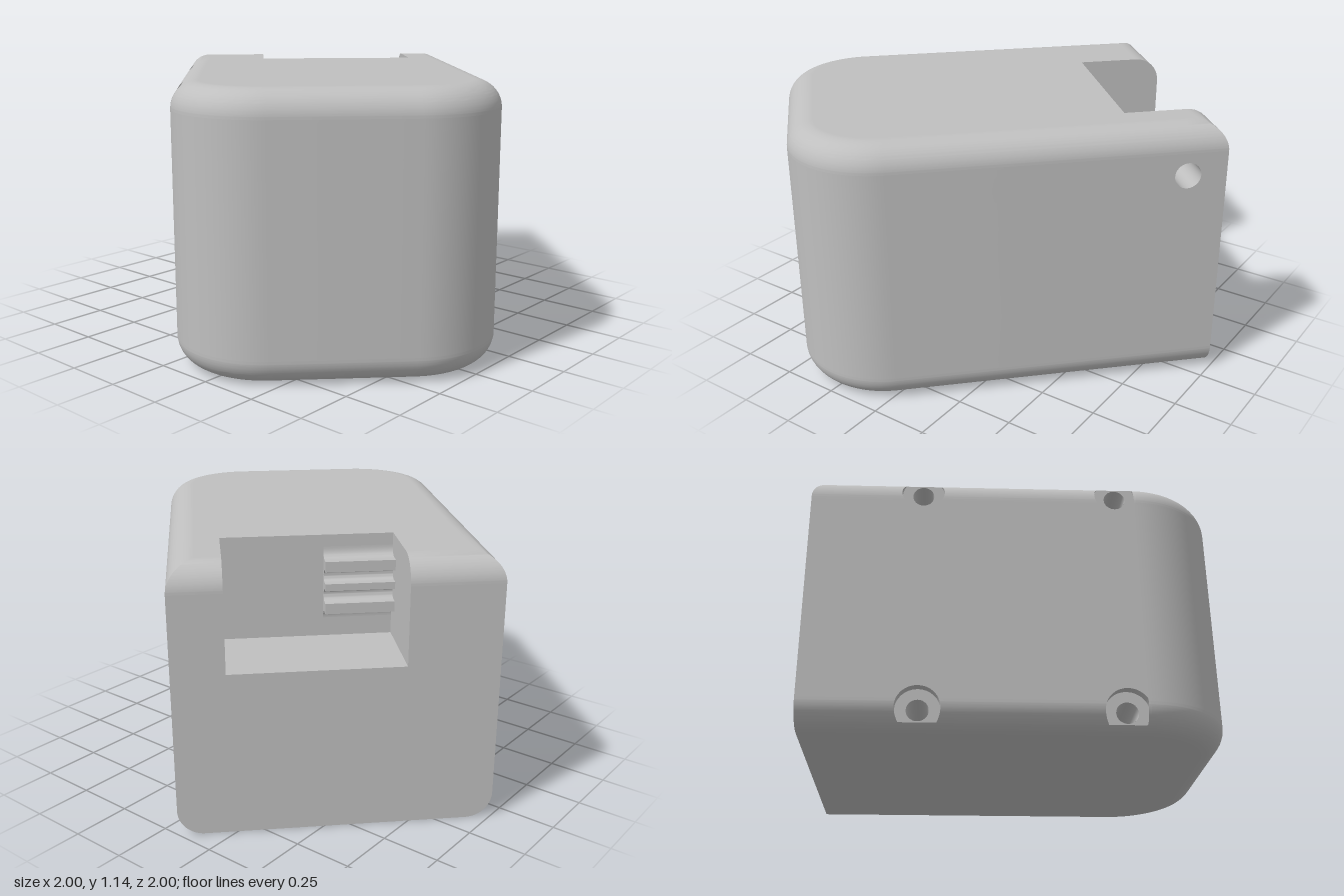
import * as THREE from 'three';
import { toCreasedNormals } from 'three/addons/utils/BufferGeometryUtils.js';

// Local frame: x across the width, z along the length (rounded end at +z), turned 45 degrees at the end
const W = 0.653, H = 1.14, V0 = -0.762, V1 = 0.978, R = 0.37, F = 0.11;
const NOTCH = { a: -0.276, b: 0.438, back: -0.385, floor: 0.7 };
const BORE = { z: -0.598, y: 0.935, r: 0.055 };
const POCKET = { zs: [-0.29, 0.53], ys: [0.075, H - 0.075], r: 0.09, hole: 0.045, x: -0.613, clip: 0.025 };

const grey = new THREE.MeshStandardMaterial({ color: 0xbfbfbf, side: THREE.DoubleSide });
grey.name = 'grey plastic';

const chord = (r, dy) => Math.sqrt(Math.max(0, r * r - dy * dy));
// How far the edge rounding pulls the wall inwards at height y
const inset = (y) => F - chord(F, Math.max(0, F - y, y - (H - F)));
const pocketHalf = (y, r) => Math.max(...POCKET.ys.map((c) => chord(r, y - c)));

// Collects quads into one geometry with smooth curves and sharp edges
function quadSheet() {
  const pos = [];
  return {
    quad(a, b, c, d) { pos.push(...a, ...b, ...c, ...a, ...c, ...d); },
    build() {
      const g = new THREE.BufferGeometry();
      g.setAttribute('position', new THREE.Float32BufferAttribute(pos, 3));
      return toCreasedNormals(g, 0.6);
    },
  };
}

// Outline at height y: left wall, rounded end, right wall, flat end. "open" columns are cut out.
function ring(y, pocketOpen) {
  const d = inset(y), x = W - d, r = R - d, zc = V1 - R;
  const zEnd = V0 + (y > H / 2 ? d : 0);
  const w = pocketOpen ? pocketHalf(y, POCKET.r) : 0;
  const h = chord(BORE.r, y - BORE.y);
  const pts = [[-x, zEnd]];
  POCKET.zs.forEach((z) => pts.push([-x, z - w], [-x, z + w]));
  for (const [side, from] of [[-1, Math.PI], [1, Math.PI / 2]]) {
    for (let i = 0; i <= 16; i++) {
      const t = from - (i / 16) * (Math.PI / 2);
      pts.push([side * (W - R) + r * Math.cos(t), zc + r * Math.sin(t)]);
    }
  }
  pts.push([x, BORE.z + h], [x, BORE.z - h], [x, zEnd], [NOTCH.b, zEnd], [NOTCH.a, zEnd], [-x, zEnd]);
  return pts;
}

// Heights at which the skin is sliced
function sliceHeights() {
  const ys = [NOTCH.floor, POCKET.clip, H - POCKET.clip];
  for (let i = 0; i <= 12; i++) {
    const y = F * (1 - Math.cos((i / 12) * Math.PI / 2));
    ys.push(y, H - y);
  }
  for (let i = 0; i <= 16; i++) {
    const c = Math.cos((i / 16) * Math.PI);
    ys.push(BORE.y + BORE.r * c);
    POCKET.ys.forEach((y) => ys.push(y + POCKET.r * c, y + POCKET.hole * c));
  }
  return ys.filter((y) => y >= 0 && y <= H).sort((a, b) => a - b)
    .filter((y, i, all) => i === 0 || y - all[i - 1] > 1e-4);
}

function createModel() {
  const model = new THREE.Group();
  const block = new THREE.Group();
  block.name = 'block';
  block.rotation.y = -Math.PI / 4;
  model.add(block);
  const add = (name, geometry) => {
    const mesh = new THREE.Mesh(geometry, grey);
    mesh.name = name;
    block.add(mesh);
    return mesh;
  };

  // Outer skin and screw pockets, slice by slice
  const skin = quadSheet(), pockets = quadSheet();
  const ys = sliceHeights();
  for (let k = 0; k < ys.length - 1; k++) {
    const y0 = ys[k], y1 = ys[k + 1], mid = (y0 + y1) / 2;
    const pocketOpen = mid > POCKET.clip && mid < H - POCKET.clip;
    const lo = ring(y0, pocketOpen), hi = ring(y1, pocketOpen), n = lo.length;
    const boreOpen = Math.abs(mid - BORE.y) < BORE.r;
    const inPocket = pocketOpen && pocketHalf(mid, POCKET.r) > 0;
    for (let i = 0; i < n - 1; i++) {
      if ((i === 1 || i === 3) && (inPocket || !pocketOpen)) continue;
      if (i === n - 6 && boreOpen) continue;
      if (i === n - 3 && mid > NOTCH.floor) continue;
      const [a, b, c, d] = [lo[i], lo[i + 1], hi[i + 1], hi[i]];
      skin.quad([a[0], y0, a[1]], [b[0], y0, b[1]], [c[0], y1, c[1]], [d[0], y1, d[1]]);
    }
    if (!inPocket) continue;
    const px = POCKET.x;
    for (const z of POCKET.zs) {
      const [w0, w1] = [y0, y1].map((y) => pocketHalf(y, POCKET.r));
      const [h0, h1] = [y0, y1].map((y) => pocketHalf(y, POCKET.hole));
      const x0 = lo[0][0], x1 = hi[0][0];
      pockets.quad([x0, y0, z - w0], [px, y0, z - w0], [px, y1, z - w1], [x1, y1, z - w1]);
      pockets.quad([px, y0, z - w0], [px, y0, z - h0], [px, y1, z - h1], [px, y1, z - w1]);
      pockets.quad([px, y0, z + h0], [px, y0, z + w0], [px, y1, z + w1], [px, y1, z + h1]);
      pockets.quad([px, y0, z + w0], [x0, y0, z + w0], [x1, y1, z + w1], [px, y1, z + w1]);
    }
  }
  add('outerSkin', skin.build());
  add('screwPockets', pockets.build());

  // Top with the notch cut out, and bottom
  const cap = (name, pts, flip, y) => {
    const shape = new THREE.Shape(pts.map(([x, z]) => new THREE.Vector2(x, flip * z)));
    add(name, new THREE.ShapeGeometry(shape).rotateX(flip * Math.PI / 2).translate(0, y, 0));
  };
  const distinct = (pts) => pts.filter((p, i) => i === 0
    || Math.hypot(p[0] - pts[i - 1][0], p[1] - pts[i - 1][1]) > 1e-5);
  const topPts = ring(H, false).slice(0, -1);
  topPts.splice(-1, 0, [NOTCH.b, NOTCH.back], [NOTCH.a, NOTCH.back]);
  cap('top', distinct(topPts), -1, H);
  cap('bottom', distinct(ring(0, false).slice(0, -1)), 1, 0);

  // Notch: two side walls, floor and back
  const notchWall = (name, x, bored) => {
    const s = new THREE.Shape();
    s.moveTo(V0, NOTCH.floor).lineTo(NOTCH.back, NOTCH.floor).lineTo(NOTCH.back, H).lineTo(V0 + F, H);
    s.absarc(V0 + F, H - F, F, Math.PI / 2, Math.PI, false);
    if (bored) s.holes.push(new THREE.Path().absarc(BORE.z, BORE.y, BORE.r, 0, Math.PI * 2, true));
    add(name, new THREE.ShapeGeometry(s, 16).rotateY(-Math.PI / 2).translate(x, 0, 0));
  };
  notchWall('notchWideSide', NOTCH.a, false);
  notchWall('notchNarrowSide', NOTCH.b, true);
  const nw = NOTCH.b - NOTCH.a, nx = (NOTCH.a + NOTCH.b) / 2, nd = NOTCH.back - V0;
  add('notchFloor', new THREE.PlaneGeometry(nw, nd).rotateX(-Math.PI / 2))
    .position.set(nx, NOTCH.floor, V0 + nd / 2);
  add('notchBack', new THREE.PlaneGeometry(nw, H - NOTCH.floor).rotateY(Math.PI))
    .position.set(nx, (H + NOTCH.floor) / 2, NOTCH.back);

  // Toothed rack in the corner of the notch
  const zb = NOTCH.back, zt = zb - 0.073;
  const rack = new THREE.Shape();
  rack.moveTo(zb, 0.78).quadraticCurveTo(zb, 0.82, zb - 0.04, 0.82).lineTo(zt, 0.82);
  for (const [y0, y1] of [[0.865, 0.92], [0.95, 1.0]]) {
    const r = (y1 - y0) / 2;
    rack.lineTo(zt, y0);
    rack.absarc(zb - 0.017 - r, (y0 + y1) / 2, r, -Math.PI / 2, Math.PI / 2, false);
    rack.lineTo(zt, y1);
  }
  rack.lineTo(zt, 1.045).lineTo(zb - 0.04, 1.045).quadraticCurveTo(zb, 1.045, zb, 1.09);
  const rackGeo = new THREE.ExtrudeGeometry(rack, { depth: 0.29, bevelEnabled: false, curveSegments: 10 });
  add('toothedRack', toCreasedNormals(rackGeo.rotateY(-Math.PI / 2).translate(0.014, 0, 0), 0.6));

  // Bores: one through the narrow post, four blind screw holes
  const bore = (name, r, x0, x1, y, z) =>
    add(name, new THREE.CylinderGeometry(r, r, x1 - x0, 32, 1, true).rotateZ(Math.PI / 2))
      .position.set((x0 + x1) / 2, y, z);
  bore('pinBore', BORE.r, NOTCH.b, W, BORE.y, BORE.z);
  for (const z of POCKET.zs) for (const y of POCKET.ys) {
    bore('screwHole', POCKET.hole, POCKET.x, POCKET.x + 0.3, y, z);
    add('screwHoleEnd', new THREE.CircleGeometry(POCKET.hole, 32).rotateY(-Math.PI / 2))
      .position.set(POCKET.x + 0.3, y, z);
  }
  return model;
}

export { createModel };
